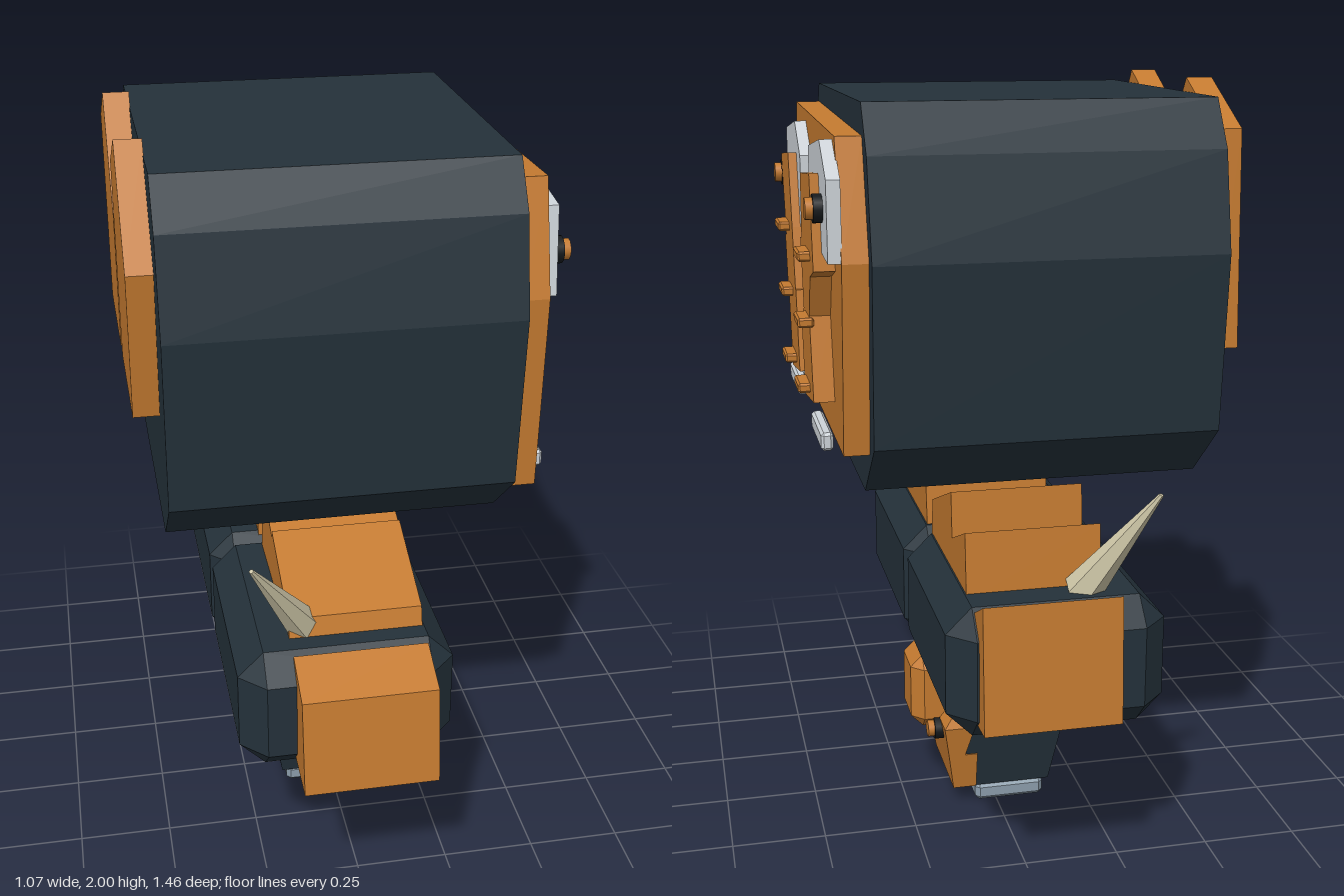
import * as THREE from 'three';
import { ConvexGeometry } from 'three/addons/geometries/ConvexGeometry.js';

const mat = (name, color) => {
  const m = new THREE.MeshStandardMaterial({ color });
  m.name = name;
  return m;
};

export function createModel() {
  const root = new THREE.Group();
  const dark = mat('dark slate', 0x24313a);
  const orange = mat('orange', 0xc47a30);
  const white = mat('pale grey', 0xcdd3d8);
  const steel = mat('steel grey', 0x8c9dab);
  const horn = mat('horn', 0xcfc7a8);
  const black = mat('black', 0x15191c);

  const add = (name, geometry, material) => {
    const m = new THREE.Mesh(geometry, material);
    m.name = name;
    root.add(m);
    return m;
  };

  // Plate with a [z, y] outline, running from x0 to x1
  const plate = (name, pts, x0, x1, material, dz = 0) => {
    const shape = new THREE.Shape(pts.map(([z, y]) => new THREE.Vector2(-z - dz, y)));
    const g = new THREE.ExtrudeGeometry(shape, { depth: x1 - x0, bevelEnabled: false });
    return add(name, g.rotateY(Math.PI / 2).translate(x0, 0, 0), material);
  };

  // Box between two corners with all edges cut by c
  const chamferBox = (name, lo, hi, c, material) => {
    const mid = lo.map((v, i) => (v + hi[i]) / 2);
    const half = lo.map((v, i) => (hi[i] - v) / 2);
    const pts = [];
    for (let axis = 0; axis < 3; axis++)
      for (const sx of [-1, 1]) for (const sy of [-1, 1]) for (const sz of [-1, 1]) {
        const p = [sx, sy, sz].map((s, i) => mid[i] + s * (half[i] - (i === axis ? 0 : c)));
        pts.push(new THREE.Vector3(...p));
      }
    return add(name, new ConvexGeometry(pts), material);
  };

  // Short cylinder pointing to +x
  const knob = (name, x0, x1, y, z, r, material) => add(name,
    new THREE.CylinderGeometry(r, r, x1 - x0, 12).rotateZ(-Math.PI / 2)
      .translate((x0 + x1) / 2, y, z), material);

  // Head: faceted prism along x
  const half = [[0.42, 1.965], [0.497, 1.85], [0.55, 1.61], [0.52, 1.17], [0.35, 1.02]];
  const headOutline = [
    ...half.map(([w, y]) => [w - 0.022, y]),
    ...half.slice().reverse().map(([w, y]) => [-w - 0.022, y])];
  plate('head', headOutline, -0.47, 0.385, dark);
  plate('facePanel', [[0.405, 1.915], [0.48, 1.64], [0.46, 1.14],
    [-0.47, 1.14], [-0.527, 1.61], [-0.45, 1.89]], 0.385, 0.448, orange);

  // Eye patches and eyes
  const patch = [[0.41, 1.845], [0.167, 1.88], [0.055, 1.8], [0.055, 1.61], [0.437, 1.63]];
  for (const dz of [0, -0.572]) plate('eyePatch', patch, 0.445, 0.478, white, dz);
  for (const z of [0.378, -0.42]) {
    knob('eyeRing', 0.47, 0.5, 1.725, z, 0.034, black);
    knob('eye', 0.49, 0.518, 1.725, z, 0.026, orange);
  }

  // Stepped cheek plates with small ridges
  plate('cheekPlate', [[0.352, 1.78], [0.147, 1.8], [0.1, 1.61], [0.066, 1.45], [0.055, 1.45],
    [0.02, 1.237], [0.22, 1.21], [0.262, 1.4], [0.278, 1.4], [0.315, 1.56], [0.284, 1.565]],
    0.446, 0.5, orange);
  plate('cheekPlate', [[-0.162, 1.78], [-0.374, 1.8], [-0.405, 1.575], [-0.326, 1.55], [-0.278, 1.445],
    [-0.32, 1.237], [-0.114, 1.21], [-0.077, 1.41], [-0.146, 1.44], [-0.115, 1.615], [-0.146, 1.62]],
    0.446, 0.5, orange);
  [[0.235, 1.6], [0.192, 1.43], [0.15, 1.255], [-0.285, 1.6], [-0.238, 1.43], [-0.19, 1.255]]
    .forEach(([z, y]) => chamferBox('cheekRidge',
      [0.49, y - 0.012, z - 0.052], [0.53, y + 0.012, z + 0.052], 0.005, orange));

  // Mouth bars
  for (const z of [0.26, -0.305])
    chamferBox('mouthBar', [0.465, 1.14, z - 0.112], [0.495, 1.185, z + 0.112], 0.007, white);

  // Pointed plates on the back of the head
  const ear = [[-0.475, 1.36], [-0.44, 1.89], [-0.22, 2.0], [-0.04, 1.735], [-0.09, 1.36]];
  for (const dz of [0, 0.45]) plate('backPlate', ear, -0.535, -0.468, orange, dz);

  // Two overlapping torso blocks
  chamferBox('shoulderBlock', [-0.325, 0.44, -0.05], [0.23, 0.78, 0.62], 0.066, dark);
  chamferBox('shoulderBlock', [-0.325, 0.44, -0.665], [0.23, 0.78, 0.01], 0.066, dark);

  // Shoulder ridges and end cuffs
  plate('shoulderRidge', [[0.51, 0.76], [0.49, 0.83], [0.225, 0.935], [0.23, 0.915],
    [0.05, 0.985], [0.022, 0.76]], -0.185, 0.16, orange);
  plate('shoulderRidge', [[-0.045, 0.76], [-0.06, 0.88], [-0.325, 0.985], [-0.335, 0.865],
    [-0.5, 0.935], [-0.515, 0.76]], -0.185, 0.16, orange);
  plate('cuff', [[0.697, 0.715], [0.57, 0.77], [0.57, 0.475], [0.73, 0.46]], -0.185, 0.16, orange);
  plate('cuff', [[-0.705, 0.82], [-0.6, 0.765], [-0.6, 0.485], [-0.725, 0.495]], -0.185, 0.16, orange);

  // Shoulder spikes
  for (const [z0, z1] of [[0.45, 0.605], [-0.53, -0.65]]) {
    const a = new THREE.Vector3(-0.13, 0.77, z0), b = new THREE.Vector3(-0.29, 1.05, z1);
    const dir = b.clone().sub(a);
    const g = new THREE.CylinderGeometry(0.006, 0.05, dir.length(), 6);
    const m = add('shoulderSpike', g.toNonIndexed(), horn);
    m.geometry.computeVertexNormals();
    m.position.copy(a).lerp(b, 0.5);
    m.quaternion.setFromUnitVectors(new THREE.Vector3(0, 1, 0), dir.normalize());
  }

  // Lower body: convex block whose z width follows height
  const halfWidth = y => (y < 0.25 ? 0.132 + (y - 0.05) * 0.18 : 0.168 - (y - 0.25) * 0.49);
  const block = (name, pts, grow, material) => {
    const v = [];
    for (const [x, y] of pts) for (const s of [-1, 1])
      v.push(new THREE.Vector3(x, y, -0.02 + s * (halfWidth(y) + grow)));
    return add(name, new ConvexGeometry(v), material);
  };
  block('lowerBody', [[-0.135, 0.39], [0.04, 0.39], [0.1, 0.25], [0.08, 0.05],
    [-0.15, 0.05], [-0.185, 0.25]], 0, dark);
  block('lowerFace', [[0.042, 0.392], [0.155, 0.25], [0.085, 0.25]], 0.004, orange);
  block('lowerFace', [[0.07, 0.25], [0.155, 0.25], [0.141, 0.16], [0.095, 0.16]], 0.004, orange);
  block('lowerFace', [[0.06, 0.16], [0.141, 0.16], [0.125, 0.05], [0.06, 0.05]], 0.004, orange);

  // Snout, its studs and the foot
  chamferBox('snout', [0.1, 0.215, -0.11], [0.23, 0.43, 0.07], 0.033, orange);
  for (const z of [0.067, -0.109]) {
    knob('studRing', 0.12, 0.172, 0.22, z, 0.031, black);
    knob('stud', 0.16, 0.19, 0.22, z, 0.023, orange);
  }
  chamferBox('foot', [-0.135, 0, -0.155], [0.06, 0.052, 0.105], 0.012, steel);

  return root;
}
